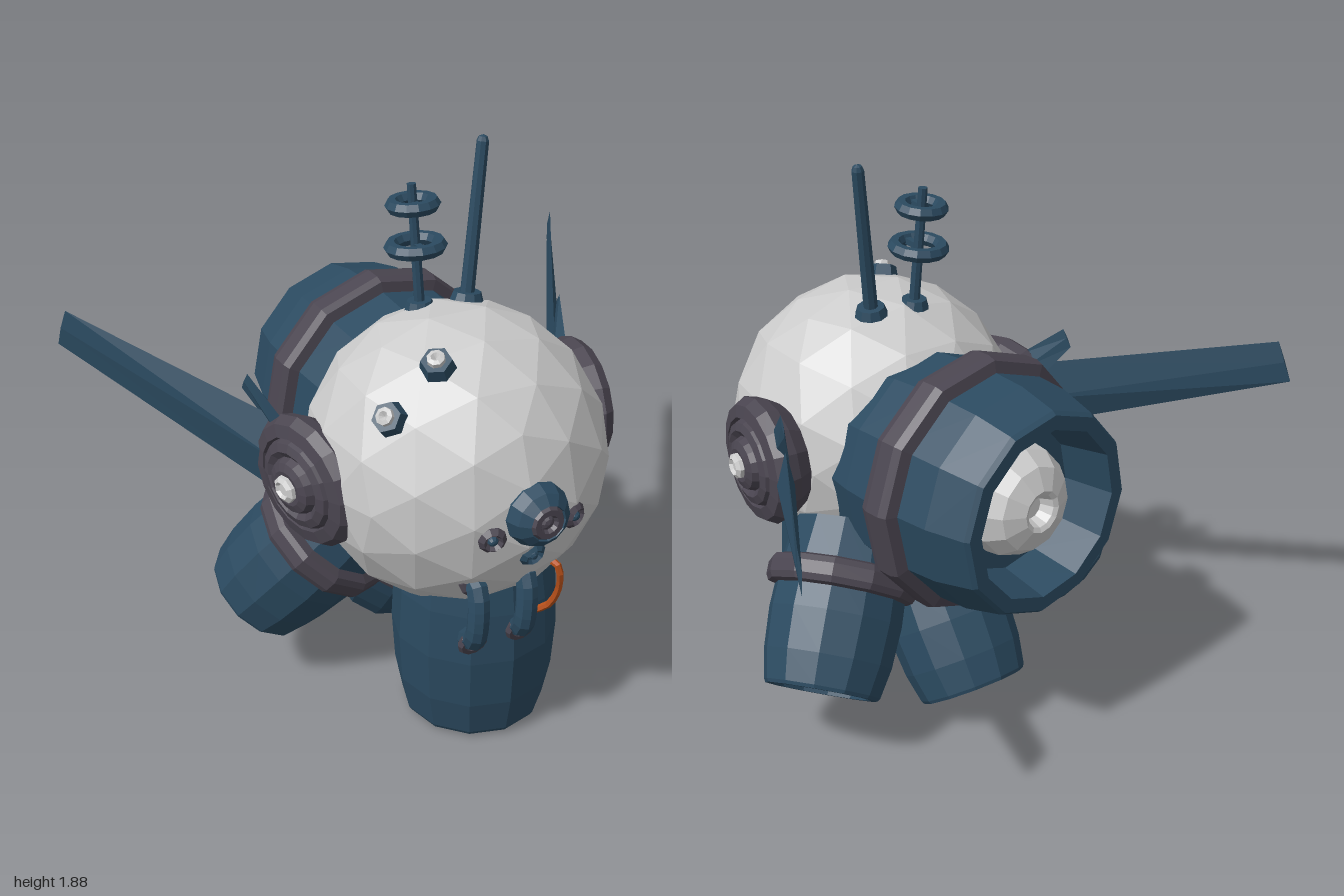
import * as THREE from 'three';

const V = (x, y, z) => new THREE.Vector3(x, y, z);
const mat = (color) => new THREE.MeshStandardMaterial({ color, flatShading: true, side: THREE.DoubleSide });
const UP = V(0, 1, 0);

export function createModel() {
  const model = new THREE.Group();
  const grey = mat(0xcccccc), blue = mat(0x2b4a60), dark = mat(0x4a4550), orange = mat(0xb8501a);
  const centre = V(0.03, 0.93, 0.26);

  const add = (parent, name, geometry, material, y = 0) => {
    const m = new THREE.Mesh(geometry, material);
    m.name = name;
    m.position.y = y;
    parent.add(m);
    return m;
  };
  // Group whose local +y points along an axis
  const mount = (name, pos, axis) => {
    const g = new THREE.Group();
    g.name = name;
    g.position.copy(pos);
    g.quaternion.setFromUnitVectors(UP, axis.clone().normalize());
    model.add(g);
    return g;
  };
  const lathe = (pts, sides = 12) => new THREE.LatheGeometry(pts.map(([r, y]) => new THREE.Vector2(r, y)), sides);
  const ring = (R, r, sides = 12) => new THREE.TorusGeometry(R, r, 6, sides).rotateX(Math.PI / 2);

  // Faceted body
  add(model, 'body', new THREE.IcosahedronGeometry(0.492, 2), grey).position.copy(centre);

  // Barrel thrusters: hollow mouth at the local origin, a rounded nozzle inside
  function thruster(name, mouth, axis, r, len, bandAt, bandWidth) {
    const g = mount(name, mouth, axis);
    add(g, 'barrel', lathe([
      [0, -len], [0.86 * r, -len], [0.97 * r, -0.7 * len], [r, -0.45 * len], [0.96 * r, -0.2 * len],
      [0.87 * r, -0.02 * len], [0.84 * r, 0], [0.72 * r, 0], [0.64 * r, -0.45 * r], [0, -0.45 * r],
    ]), blue);
    add(g, 'nozzle', lathe([
      [0.48 * r, -0.47 * r], [0.46 * r, -0.3 * r], [0.36 * r, -0.15 * r], [0.18 * r, -0.07 * r],
      [0.14 * r, -0.09 * r], [0.1 * r, -0.2 * r], [0, -0.2 * r],
    ]), grey);
    if (bandAt) {
      const w = bandWidth, R = r * 0.93, o = r * 1.07 + 0.015;
      add(g, 'band', lathe([[R, -w], [o - 0.01, -w * 0.8], [o, -w * 0.4], [o, w * 0.4], [o - 0.01, w * 0.8], [R, w]]), dark, -bandAt);
    }
  }
  thruster('mainEngine', V(0.0, 0.925, -0.63), V(-0.08, 0.04, -1), 0.39, 0.75, 0.33, 0.07);
  thruster('frontThruster', V(0.05, 0.025, 0.37), V(0, -1, 0), 0.275, 0.7);
  thruster('leftThruster', V(0.58, 0.27, -0.21), V(0.505, -0.766, -0.4), 0.222, 0.55, 0.37, 0.05);
  thruster('rightThruster', V(-0.53, 0.31, -0.13), V(-0.53, -0.74, -0.4), 0.222, 0.55, 0.37, 0.05);
  thruster('rearThruster', V(0.03, 0.12, -0.31), V(0, -0.81, -0.59), 0.215, 0.55, 0.4, 0.05);

  // Side hubs with stepped rings and a bolt
  function hub(name, pos, axis) {
    const g = mount(name, pos, axis);
    g.scale.z = 1.12;
    add(g, 'hubDisc', lathe([
      [0.17, -0.09], [0.2, -0.04], [0.21, 0], [0.19, 0.035], [0.15, 0.045], [0.145, 0.025],
      [0.135, 0.05], [0.11, 0.06], [0.09, 0.045], [0.08, 0.07], [0.055, 0.08], [0, 0.07],
    ], 16), dark);
    add(g, 'hubBolt', lathe([[0.045, 0.06], [0.042, 0.09], [0.028, 0.1], [0.02, 0.09], [0, 0.09]], 8), grey);
  }
  hub('leftHub', V(0.545, 0.95, 0.165), V(0.99, 0, 0.12));
  hub('rightHub', V(-0.465, 0.91, 0.2), V(-0.96, 0, 0.27));

  // Thin blades with a diamond section, tapering from root to tip
  function blade(name, rootTop, rootLow, tipTop, tipLow, thick) {
    const n = tipTop.clone().sub(rootTop).cross(rootLow.clone().sub(rootTop)).normalize();
    const section = (a, b, t) => {
      const mid = a.clone().lerp(b, 0.5);
      return [a, mid.clone().addScaledVector(n, t), b, mid.clone().addScaledVector(n, -t)];
    };
    const pts = [...section(rootTop, rootLow, thick), ...section(tipTop, tipLow, thick * 0.2)];
    const index = [0, 1, 2, 0, 2, 3, 4, 6, 5, 4, 7, 6];
    for (let i = 0; i < 4; i++) {
      const j = (i + 1) % 4;
      index.push(i, i + 4, j, j, i + 4, j + 4);
    }
    const geo = new THREE.BufferGeometry().setFromPoints(pts);
    geo.setIndex(index);
    geo.computeVertexNormals();
    add(model, name, geo, blue);
  }
  blade('leftWing', V(0.55, 1.07, 0.0), V(0.55, 0.82, 0.02), V(0.985, 1.23, -0.78), V(0.997, 1.1, -0.815), 0.03);
  blade('rightWing', V(-0.49, 1.06, 0.05), V(-0.48, 0.79, 0.11), V(-0.975, 1.255, -0.63), V(-1, 1.12, -0.675), 0.03);
  blade('leftFin', V(0.56, 1.09, 0.06), V(0.56, 1.03, -0.04), V(0.608, 1.225, -0.08), V(0.615, 1.165, -0.11), 0.018);
  blade('rightFin', V(-0.49, 1.07, 0.12), V(-0.5, 1.01, 0.02), V(-0.56, 1.2, -0.03), V(-0.57, 1.14, -0.06), 0.018);

  // Antennas: a plain rod and a ringed mast
  const rod = mount('tallAntenna', V(0.14, 1.385, 0.115), V(0.07, 0.49, -0.045));
  add(rod, 'antennaRod', new THREE.CylinderGeometry(0.02, 0.024, 0.5, 8), blue, 0.25);
  add(rod, 'antennaTip', new THREE.SphereGeometry(0.02, 8, 4), blue, 0.5);
  add(rod, 'antennaBase', new THREE.CylinderGeometry(0.045, 0.055, 0.03, 10), blue, 0.005);

  const mast = mount('ringAntenna', V(-0.02, 1.38, 0.1), V(-0.015, 0.4, -0.03));
  add(mast, 'mastRod', new THREE.CylinderGeometry(0.015, 0.018, 0.4, 8), blue, 0.2);
  add(mast, 'mastBase', new THREE.CylinderGeometry(0.04, 0.05, 0.03, 10), blue, 0.005);
  [[0.2, 0.078], [0.335, 0.065]].forEach(([y, R]) => {
    add(mast, 'mastRing', ring(R, 0.023, 14), blue, y);
    add(mast, 'ringSpoke', new THREE.BoxGeometry(0.02, 0.02, R), blue, y).position.z = R / 2;
  });

  // Hexagonal bolts on the crown
  [V(-0.135, 1.35, 0.45), V(-0.3, 1.22, 0.47)].forEach((p) => {
    const g = mount('crownBolt', p, p.clone().sub(centre));
    add(g, 'boltNut', new THREE.CylinderGeometry(0.048, 0.06, 0.06, 6), blue);
    add(g, 'boltCore', lathe([[0.03, 0.02], [0.028, 0.045], [0.015, 0.05], [0, 0.035]], 8), grey);
  });

  // Front lens with three small studs
  const lens = mount('lens', V(0.055, 0.945, 0.72), V(0.02, 0.02, 1));
  add(lens, 'lensHousing', lathe([[0.1, -0.04], [0.105, 0.02], [0.09, 0.06], [0.06, 0.085], [0.05, 0.06], [0, 0.06]]), blue);
  add(lens, 'lensRing', ring(0.04, 0.018), dark, 0.075);
  add(lens, 'lensCore', new THREE.SphereGeometry(0.03, 8, 6), dark, 0.06);
  [[-0.085, 0.885, 0.715, dark, blue], [0.2, 0.885, 0.7, dark, blue], [0.055, 0.795, 0.71, blue, blue]].forEach(([x, y, z, outer, inner]) => {
    const p = V(x, y, z), g = mount('stud', p, p.clone().sub(centre));
    add(g, 'studRim', lathe([[0.045, -0.03], [0.045, 0.012], [0.03, 0.028], [0.02, 0.015], [0, 0.015]], 10), outer);
    add(g, 'studCore', new THREE.SphereGeometry(0.018, 8, 6), inner, 0.012);
  });

  // Hoses between body and front thruster
  const tube = (pts, r, sides) => new THREE.TubeGeometry(new THREE.CatmullRomCurve3(pts), 10, r, sides);
  [-0.1, 0.07].forEach((x) => {
    add(model, 'hose', tube([V(x, 0.69, 0.6), V(x, 0.675, 0.66), V(x - 0.005, 0.6, 0.685), V(x - 0.01, 0.5, 0.675), V(x, 0.455, 0.61)], 0.036, 8), blue);
    add(mount('upperCollar', V(x, 0.69, 0.635), V(0, 0.35, 1)), 'collar', ring(0.036, 0.016, 10), dark);
    add(mount('lowerCollar', V(x, 0.46, 0.64), V(0, -0.3, 1)), 'collar', ring(0.036, 0.016, 10), dark);
  });
  add(model, 'wire', tube([V(0.165, 0.69, 0.62), V(0.175, 0.69, 0.68), V(0.19, 0.6, 0.67), V(0.175, 0.52, 0.64), V(0.14, 0.48, 0.6)], 0.012, 6), orange);

  return model;
}
